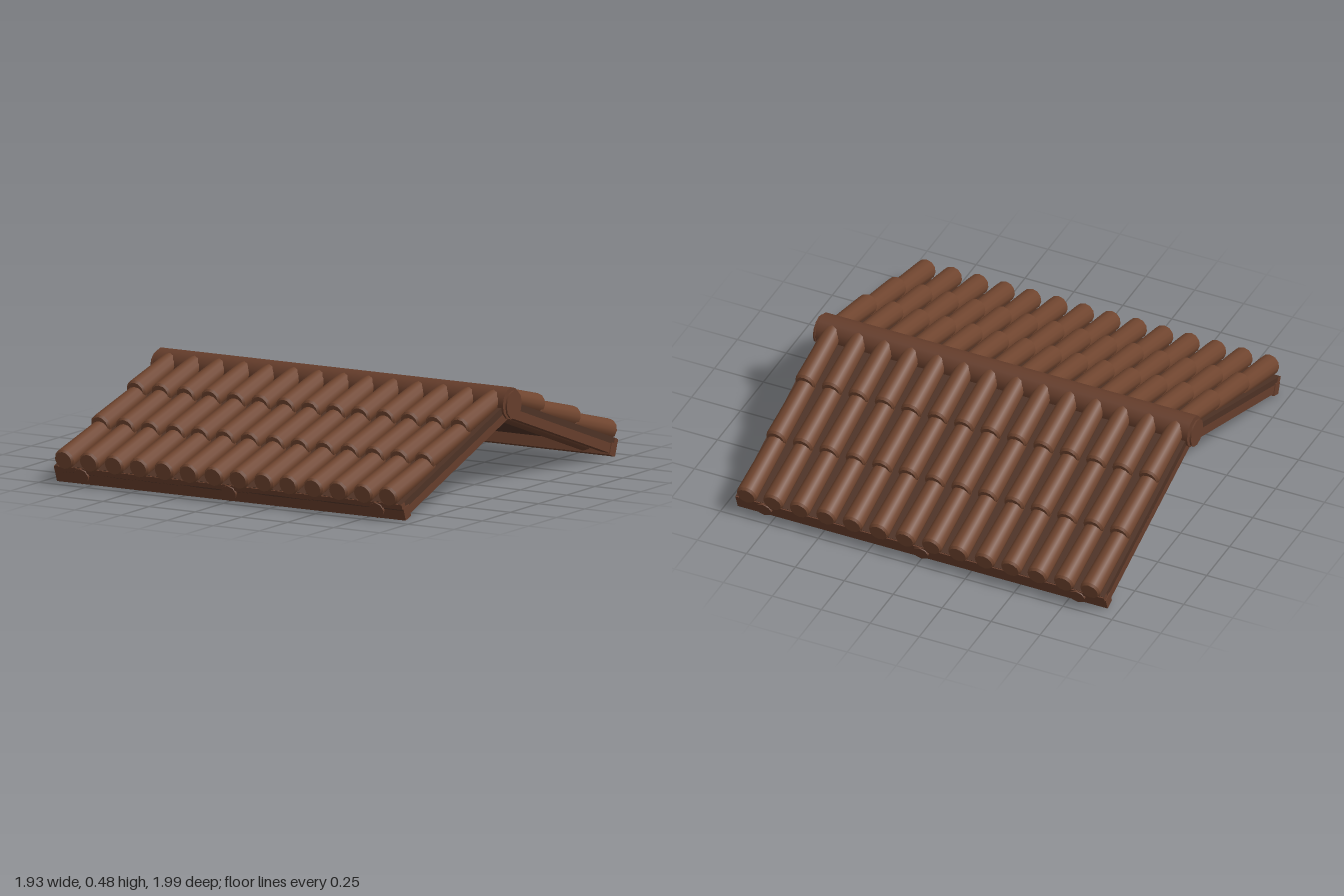
import * as THREE from 'three';

export function createModel() {
  const mat = (name, color) => {
    const m = new THREE.MeshStandardMaterial({ color });
    m.name = name;
    return m;
  };
  const clay = mat('clay tile', 0x70452f);
  const wood = mat('timber', 0x653d2b);
  const board = mat('dark boarding', 0x4e3225);

  const roof = new THREE.Group();
  roof.name = 'tiledRoof';
  const add = (parent, name, geometry, material, x, y, z) => {
    const m = new THREE.Mesh(geometry, material);
    m.name = name;
    m.position.set(x, y, z);
    parent.add(m);
    return m;
  };

  // Round tile lying along z from 0 to its length, slimmer at the upper end, with bevelled caps
  const tileGeometry = (length) => {
    const rings = [[0, 0], [0.037, 0], [0.037, 0], [0.045, 0.012], [0.045, 0.012],
      [0.051, length - 0.012], [0.051, length - 0.012], [0.043, length], [0.043, length], [0, length]];
    const g = new THREE.LatheGeometry(rings.map(([r, y]) => new THREE.Vector2(r, y)), 12);
    return g.rotateX(Math.PI / 2);
  };

  // Rows along the slope: start and end distance from the ridge
  const rows = [[-0.05, 0.325], [0.29, 0.66], [0.62, 1.0]];
  const highN = 0.096, lowN = 0.122, columns = 14, spacing = 0.135;
  const pitch = Math.atan(0.35);

  const logGeometry = new THREE.CylinderGeometry(0.04, 0.04, 0.99, 8).rotateX(Math.PI / 2);

  for (const side of [1, -1]) {
    const half = new THREE.Group();
    half.name = side > 0 ? 'frontSlope' : 'backSlope';
    half.rotation.y = side > 0 ? 0 : Math.PI;
    roof.add(half);

    // Tilted frame: z runs down the slope, y is the slope normal
    const slope = new THREE.Group();
    slope.name = 'slopeFrame';
    slope.position.y = 0.33;
    slope.rotation.x = pitch;
    half.add(slope);

    add(slope, 'roofBoard', new THREE.BoxGeometry(1.88, 0.035, 0.985), board, 0, 0.066, 0.4925);
    add(slope, 'eaveBeam', new THREE.BoxGeometry(1.89, 0.06, 0.05), wood, 0, 0.028, 0.96);
    add(slope, 'eaveTrim', new THREE.BoxGeometry(1.884, 0.024, 0.03), wood, 0, 0.07, 0.976);

    for (const x of [-0.8, 0, 0.8]) add(slope, 'rafter', logGeometry, wood, x, 0.043, 0.502);
    for (const x of [-0.92, 0.92]) {
      add(slope, 'edgeBatten', new THREE.BoxGeometry(0.04, 0.045, 0.95), wood, x, 0.03, 0.475);
    }

    // Overlapping courses of tiles
    rows.forEach(([start, end]) => {
      const length = Math.hypot(end - start, lowN - highN);
      const geometry = tileGeometry(length);
      for (let i = 0; i < columns; i++) {
        const x = (i - (columns - 1) / 2) * spacing;
        const tile = add(slope, 'roofTile', geometry, clay, x, highN, start);
        tile.rotation.x = -Math.atan2(lowN - highN, end - start);
      }
    });
  }

  // Ridge log with a thin disc at each end
  const ridge = new THREE.CylinderGeometry(0.076, 0.076, 1.9, 12).rotateZ(Math.PI / 2);
  add(roof, 'ridgeLog', ridge, wood, 0, 0.405, 0);
  const disc = new THREE.CylinderGeometry(0.067, 0.067, 0.008, 12).rotateZ(Math.PI / 2);
  for (const x of [-0.962, 0.962]) add(roof, 'ridgeEndDisc', disc, wood, x, 0.4, 0);

  return roof;
}
